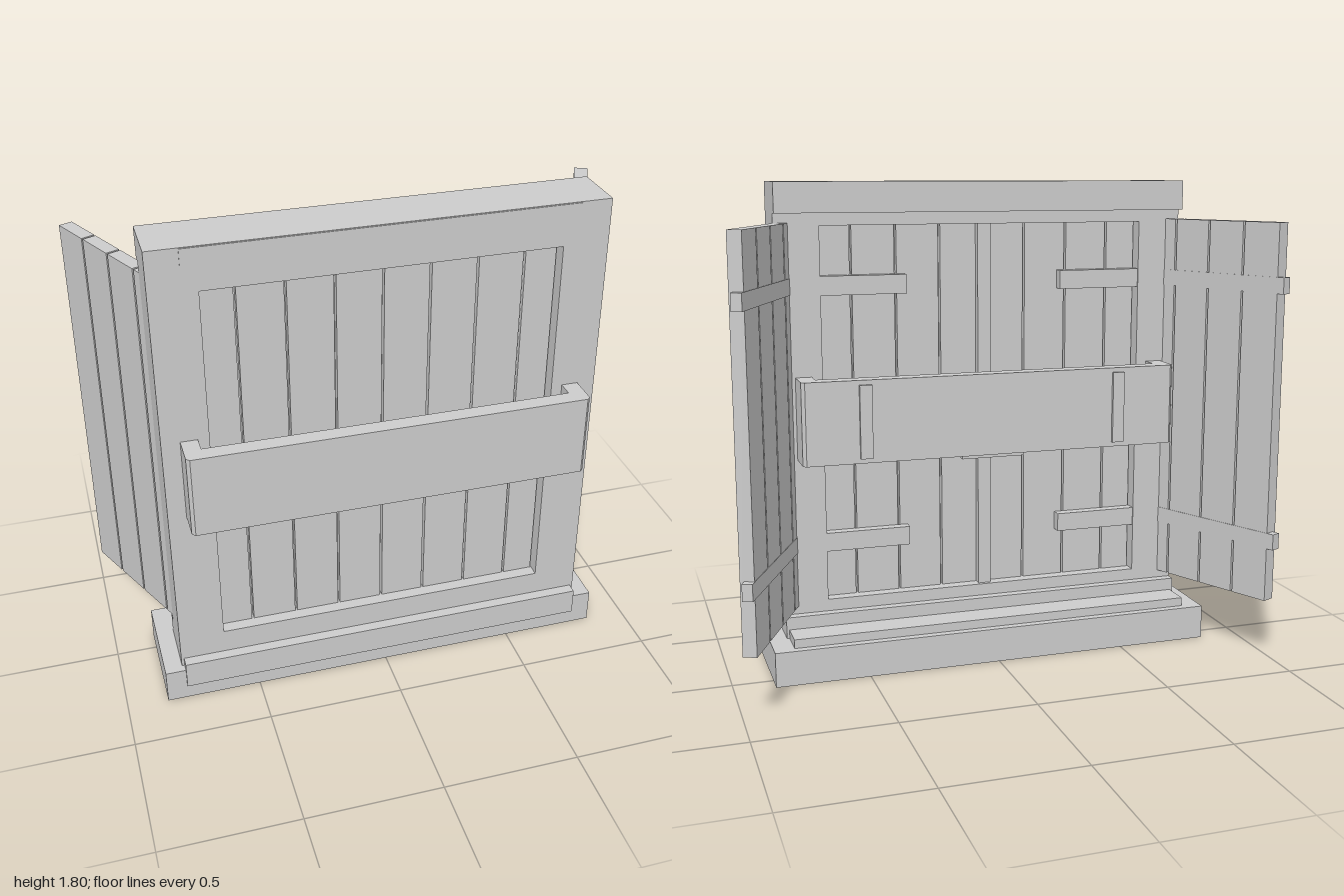
import * as THREE from 'three';

export function createModel() {
  const model = new THREE.Group();
  model.name = 'shutteredWindow';
  const grey = new THREE.MeshStandardMaterial({ color: 0xcccccc });
  grey.name = 'plain grey';

  function add(name, geometry, parent = model) {
    const mesh = new THREE.Mesh(geometry, grey);
    mesh.name = name;
    parent.add(mesh);
    return mesh;
  }

  // Box given by its lower and upper limits on each axis
  function box(name, x0, x1, y0, y1, z0, z1, parent = model) {
    const mesh = add(name, new THREE.BoxGeometry(x1 - x0, y1 - y0, z1 - z0), parent);
    mesh.position.set((x0 + x1) / 2, (y0 + y1) / 2, (z0 + z1) / 2);
    return mesh;
  }

  function rectangle(Type, x0, x1, y0, y1) {
    const path = new Type();
    path.moveTo(x0, y0);
    path.lineTo(x1, y0);
    path.lineTo(x1, y1);
    path.lineTo(x0, y1);
    path.closePath();
    return path;
  }

  // Stepped base
  box('base', -0.85, 0.85, 0, 0.13, -0.07, 0.31);
  box('sill', -0.775, 0.775, 0.06, 0.163, -0.04, 0.32);

  // Frame with one opening, and deeper rails at the back
  const outline = rectangle(THREE.Shape, -0.785, 0.785, 0.1, 1.8);
  outline.holes.push(rectangle(THREE.Path, -0.62, 0.62, 0.255, 1.645));
  const frame = add('frame', new THREE.ExtrudeGeometry(outline, { depth: 0.175, bevelEnabled: false }));
  frame.position.z = 0.105;
  box('topBackRail', -0.785, 0.785, 1.69, 1.8, 0.07, 0.105);
  box('bottomBackRail', -0.785, 0.785, 0.13, 0.21, 0.07, 0.105);
  box('lintelPlate', -0.675, 0.675, 1.74, 1.797, 0.28, 0.283);

  // Plank panel filling the opening, with a core closing the grooves
  box('panelCore', -0.62, 0.62, 0.25, 1.65, 0.175, 0.21);
  const edges = [-0.62, -0.5, -0.333, -0.166, 0, 0.166, 0.333, 0.5, 0.62];
  for (let i = 0; i < 8; i++) {
    box('panelPlank', edges[i] + 0.004, edges[i + 1] - 0.004, 0.255, 1.645, 0.15, 0.235);
  }
  box('centreBatten', -0.025, 0.025, 0.255, 1.645, 0.12, 0.15);

  // Troughs: U-shaped walls with chamfered corners and a floor
  function trough(name, depth, z, turn) {
    const w = 0.72, t = 0.06, c = 0.012;
    const u = new THREE.Shape();
    [[-w, 0], [-w + t, 0], [-w + t, depth - t], [w - t, depth - t], [w - t, 0], [w, 0],
      [w, depth - c], [w - c, depth], [c - w, depth], [-w, depth - c]]
      .forEach(([x, y], i) => (i ? u.lineTo(x, y) : u.moveTo(x, y)));
    const geometry = new THREE.ExtrudeGeometry(u, { depth: 0.305, bevelEnabled: false });
    geometry.rotateX(-Math.PI / 2);
    geometry.rotateY(turn);
    add(name, geometry).position.set(0, 0.797, z);
  }
  trough('frontTrough', 0.12, 0.28, Math.PI);
  trough('backTrough', 0.125, 0.105, 0);
  box('frontTroughFloor', -0.66, 0.66, 0.798, 0.86, 0.28, 0.345);
  box('frontTroughInnerFloor', -0.62, 0.62, 0.798, 0.86, 0.23, 0.28);
  box('backTroughFloor', -0.66, 0.66, 0.798, 0.86, 0.03, 0.105);
  box('backTroughInnerFloor', -0.62, 0.62, 0.798, 0.86, 0.105, 0.155);
  box('troughHandle', -0.12, 0.12, 0.78, 0.8, 0.01, 0.035);

  for (const side of [-1, 1]) {
    // Strips on the back trough
    const x = 0.49 * side;
    box('troughStrip', x - 0.023, x + 0.023, 0.815, 1.085, -0.032, -0.02);

    // Short battens on the back of the panel
    for (const y of [0.475, 1.43]) {
      const a = 0.3 * side, b = 0.62 * side;
      box('panelBatten', Math.min(a, b), Math.max(a, b), y - 0.035, y + 0.035, 0.11, 0.15);
    }

    // Open shutter: built along -z from its hinge, then swung outward
    const shutter = new THREE.Group();
    shutter.name = side > 0 ? 'leftShutter' : 'rightShutter';
    for (let i = 0; i < 4; i++) {
      box('shutterPlank', -0.025, 0.025, 0.24, 1.655, -0.16 * (i + 1) + 0.004, -0.16 * i - 0.004, shutter);
    }
    for (const y of [0.475, 1.43]) {
      const inner = -0.027 * side, outer = 0.01 * side;
      box('shutterBatten', Math.min(inner, outer), Math.max(inner, outer), y - 0.03, y + 0.03, -0.665, -0.04, shutter);
    }
    shutter.position.set(0.711 * side, 0, 0.212);
    shutter.rotation.y = -side * THREE.MathUtils.degToRad(24.5);
    model.add(shutter);
  }

  return model;
}
